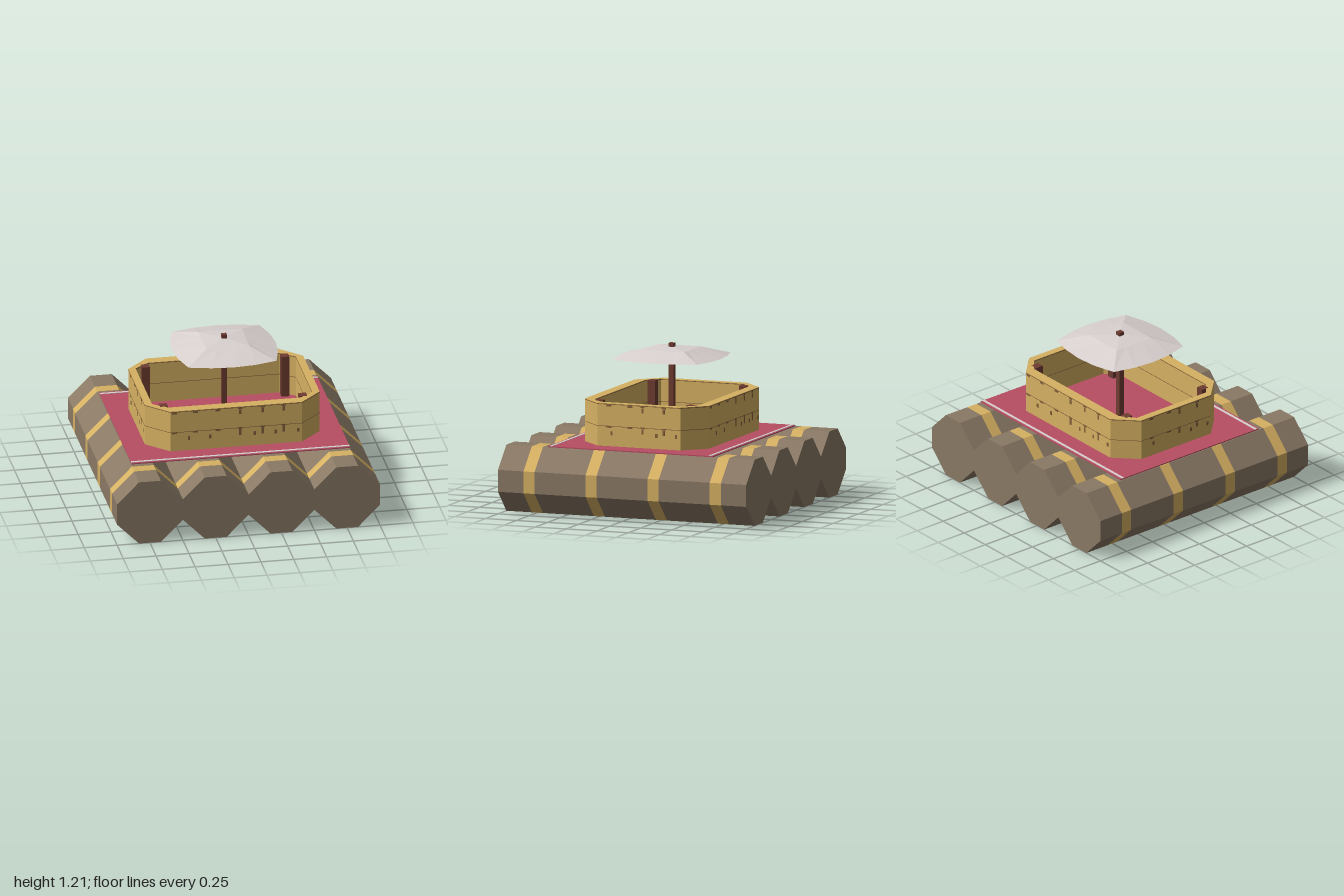
import * as THREE from 'three';

const mat = (name, color, extra = {}) => {
  const m = new THREE.MeshStandardMaterial({ color, flatShading: true, ...extra });
  m.name = name;
  return m;
};

// Rectangle with cut corners: half sizes hx, hy; cx, cy mark where each flat ends
const cutRect = (hx, hy, cx, cy) => [
  [hx, -cy], [hx, cy], [cx, hy], [-cx, hy], [-hx, cy], [-hx, -cy], [-cx, -hy], [cx, -hy],
].map(([x, y]) => new THREE.Vector2(x, y));

export function createModel() {
  const log = mat('log wood', 0x8a7965);
  const gold = mat('light wood', 0xd6b162);
  const red = mat('red cloth', 0xb84e63);
  const white = mat('white cloth', 0xd9d1cf);
  const canvas = mat('canopy cloth', 0xd9d1cf, { side: THREE.DoubleSide });
  const brown = mat('dark wood', 0x6e3d31);
  const mark = mat('wood marks', 0x85603a);
  const raft = new THREE.Group();
  raft.name = 'raft';

  const add = (parent, name, geometry, material, x = 0, y = 0, z = 0) => {
    const mesh = new THREE.Mesh(geometry, material);
    mesh.name = name;
    mesh.position.set(x, y, z);
    parent.add(mesh);
    return mesh;
  };
  const box = (parent, name, w, h, d, material, x, y, z) =>
    add(parent, name, new THREE.BoxGeometry(w, h, d), material, x, y, z);

  // Four eight-sided logs, each cut along its length into wood and binding sections
  const section = new THREE.Shape(cutRect(0.25, 0.25, 0.083, 0.083));
  const cuts = [-1];
  for (const z of [-0.75, -0.25, 0.25, 0.75]) cuts.push(z - 0.045, z + 0.045);
  cuts.push(1);
  for (const x of [-0.75, -0.25, 0.25, 0.75]) {
    const group = new THREE.Group();
    group.name = 'log';
    raft.add(group);
    for (let i = 0; i < cuts.length - 1; i++) {
      const geo = new THREE.ExtrudeGeometry(section, { depth: cuts[i + 1] - cuts[i], bevelEnabled: false });
      add(group, i % 2 ? 'binding' : 'logSection', geo, i % 2 ? gold : log, x, 0.25, cuts[i]);
    }
  }

  // Carpet with a pale stripe near each end
  box(raft, 'carpet', 1.66, 0.008, 1.33, red, 0.004, 0.504, 0);
  for (const s of [-1, 1]) box(raft, 'carpetStripe', 1.66, 0.003, 0.02, white, 0.004, 0.5095, s * 0.64);

  // Hollow ring with cut corners, lying flat; grow widens it on both faces
  const ring = (name, y, height, grow, material) => {
    const shape = new THREE.Shape(cutRect(0.665 + grow, 0.5 + grow, 0.5, 0.335));
    shape.holes.push(new THREE.Path(cutRect(0.61 - grow, 0.42 - grow, 0.5, 0.335)));
    const geo = new THREE.ExtrudeGeometry(shape, { depth: height, bevelEnabled: false });
    geo.rotateX(-Math.PI / 2);
    add(raft, name, geo, material, 0, y, 0);
  };
  ring('lowerPlanks', 0.5, 0.16, 0, gold);
  ring('upperPlanks', 0.66, 0.172, 0, gold);
  ring('plankSeam', 0.657, 0.004, 0.0015, mark);
  ring('rimSeam', 0.823, 0.005, 0.0015, mark);

  // Grain marks on the four outer faces of the wall
  for (let side = 0; side < 4; side++) {
    const face = new THREE.Group();
    face.name = 'wallMarks';
    face.rotation.y = side * Math.PI / 2;
    raft.add(face);
    const long = side % 2 === 0;
    const depth = long ? 0.501 : 0.666;
    const dashes = long ? [-0.47, -0.31, -0.14] : [-0.24, -0.07];
    const stems = long ? [0.03, 0.2, 0.36] : [0.03, 0.2];
    for (const y of [0.655, 0.815]) {
      for (const x of dashes) box(face, 'dash', 0.04, 0.015, 0.003, mark, x, y, depth);
      for (const x of stems) {
        box(face, 'dash', 0.035, 0.012, 0.003, mark, x, y + 0.003, depth);
        box(face, 'stem', 0.018, long && y < 0.7 ? 0.06 : 0.036, 0.003, mark, x, y - 0.025, depth);
      }
    }
    for (const x of long ? [-0.36, -0.2, 0.14, 0.3, 0.47] : [-0.22, 0.14, 0.3]) {
      box(face, 'peg', 0.018, 0.03, 0.003, mark, x, 0.607, depth);
    }
  }

  // Inner corner posts and the central mast
  for (const sx of [-1, 1]) for (const sz of [-1, 1]) {
    box(raft, 'cornerPost', 0.06, 0.325, 0.06, brown, sx * 0.53, 0.67, sz * 0.367);
  }
  box(raft, 'mast', 0.04, 0.705, 0.04, brown, 0, 0.8575, 0);

  // Cloth canopy: bulged square rim, smaller square ring and a low peak
  const rim = [], inner = [];
  for (let q = 0; q < 4; q++) {
    const turn = q * Math.PI / 2;
    const spin = (x, y, z) => new THREE.Vector3(x, y, z).applyAxisAngle(new THREE.Vector3(0, 1, 0), turn);
    for (const [x, z] of [[0.337, 0.333], [0.38, 0.165], [0.395, 0], [0.38, -0.165]]) rim.push(spin(x, 1.108, z));
    for (const z of [0.165, 0.08, 0, -0.08]) inner.push(spin(0.165, 1.168, z));
  }
  const peak = new THREE.Vector3(0, 1.183, 0);
  const tris = [];
  for (let i = 0; i < rim.length; i++) {
    const j = (i + 1) % rim.length;
    tris.push(rim[i], rim[j], inner[j], rim[i], inner[j], inner[i], inner[i], inner[j], peak);
  }
  const canopyGeo = new THREE.BufferGeometry().setFromPoints(tris);
  canopyGeo.computeVertexNormals();
  add(raft, 'canopy', canopyGeo, canvas);

  return raft;
}
